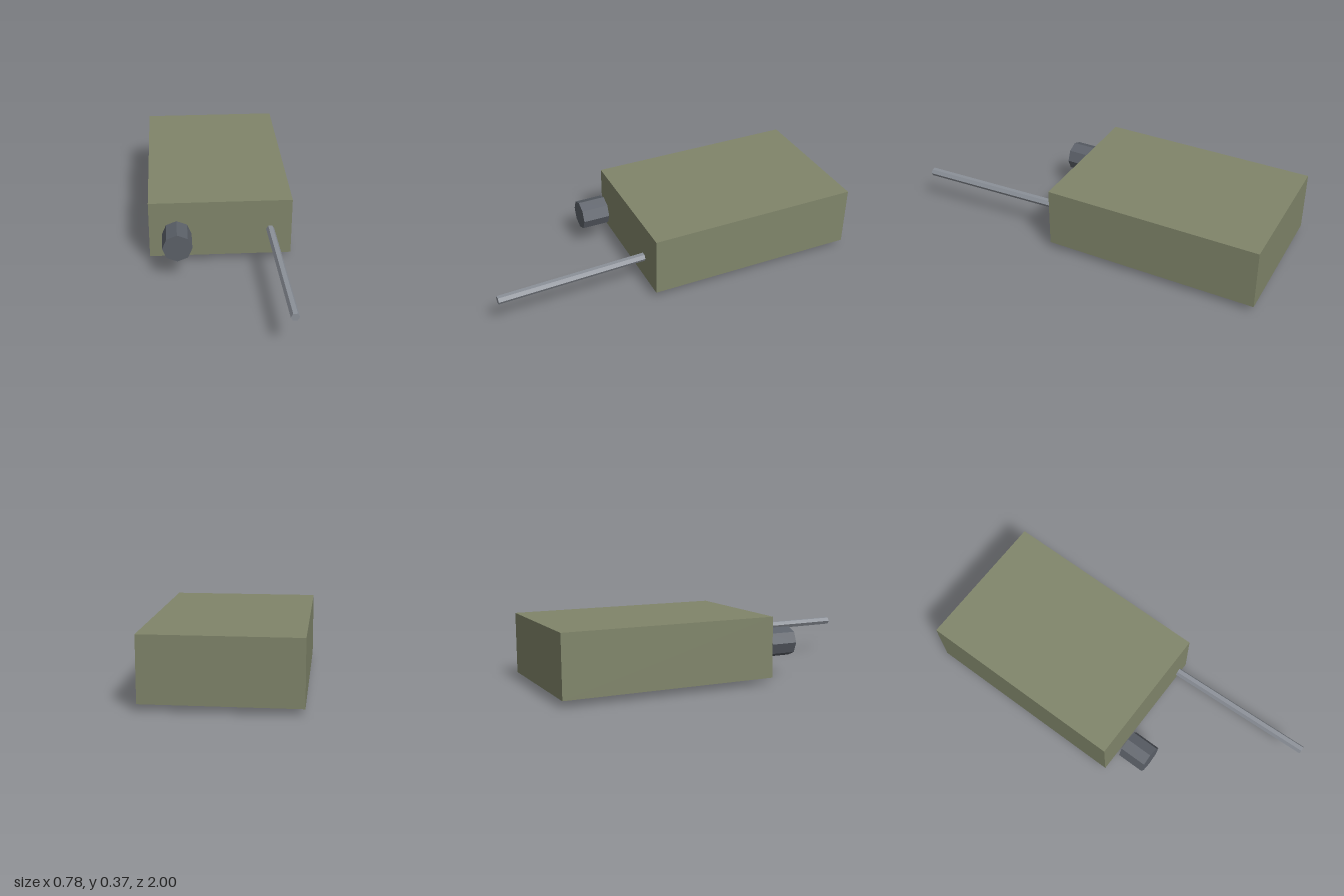
import * as THREE from 'three';

export function createModel() {
  const model = new THREE.Group();
  model.name = 'handheldRadio';

  const material = (name, color) => {
    const m = new THREE.MeshStandardMaterial({ color, flatShading: true });
    m.name = name;
    return m;
  };
  const olive = material('olive casing', 0x80856a);
  const slate = material('dark slate', 0x5b6068);
  const steel = material('steel grey', 0x8b9098);

  const add = (name, geometry, mat, parent = model) => {
    const mesh = new THREE.Mesh(geometry, mat);
    mesh.name = name;
    parent.add(mesh);
    return mesh;
  };
  // Box given by its lower and upper limits on each axis
  const box = (name, mat, [x0, x1], [y0, y1], [z0, z1], parent) => {
    const mesh = add(name, new THREE.BoxGeometry(x1 - x0, y1 - y0, z1 - z0), mat, parent);
    mesh.position.set((x0 + x1) / 2, (y0 + y1) / 2, (z0 + z1) / 2);
    return mesh;
  };

  // Casing, lying on its speaker side
  box('casing', olive, [-0.39, 0.39], [0.035, 0.365], [-1, 0.17]);

  // Speaker grille with raised bars underneath
  const speaker = new THREE.Group();
  speaker.name = 'speaker';
  model.add(speaker);
  box('grillePlate', slate, [-0.27, 0.27], [0.017, 0.035], [-0.56, -0.08], speaker);
  for (let i = -2; i <= 2; i++) {
    const x = i * 0.106;
    box('grilleBar', steel, [x - 0.0075, x + 0.0075], [0, 0.017], [-0.53, -0.11], speaker);
  }

  // Button, slightly clear of the casing
  box('button', olive, [0.075, 0.225], [0.002, 0.026], [-0.885, -0.785]);

  // Eight-sided knob
  const knob = add('knob', new THREE.CylinderGeometry(0.08, 0.08, 0.15, 8).rotateX(Math.PI / 2), slate);
  knob.position.set(-0.24, 0.2, 0.29);

  // Six-sided antenna, leaning a little outward
  const start = new THREE.Vector3(0.27, 0.2, 0.19);
  const end = new THREE.Vector3(0.3, 0.2, 1);
  const antennaGeometry = new THREE.CylinderGeometry(0.0225, 0.0225, start.distanceTo(end), 6)
    .rotateY(Math.PI / 6)
    .rotateX(Math.PI / 2);
  const antenna = add('antenna', antennaGeometry, steel);
  antenna.position.copy(start).lerp(end, 0.5);
  antenna.rotation.y = Math.atan2(end.x - start.x, end.z - start.z);

  return model;
}
